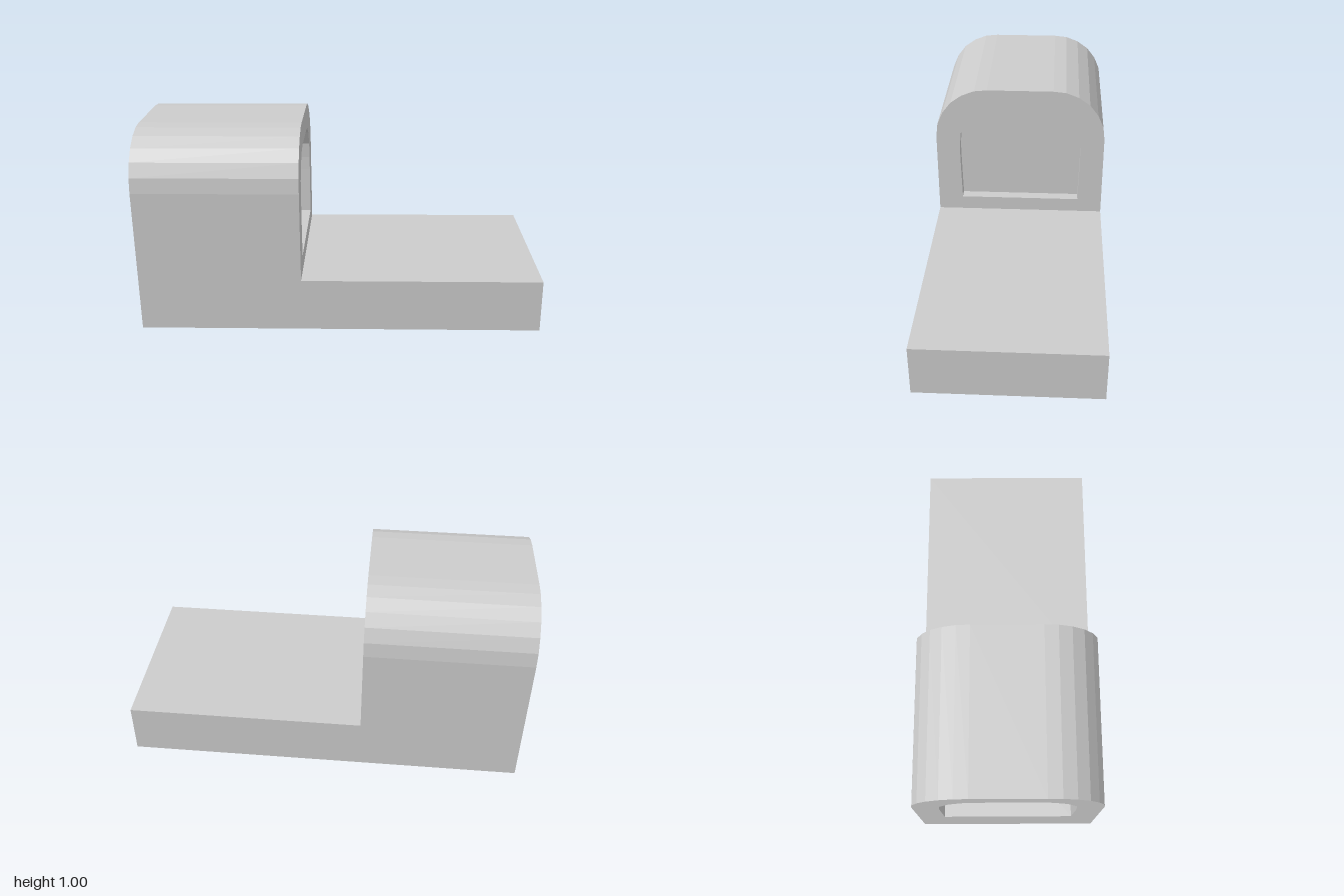
import * as THREE from 'three';

const material = new THREE.MeshStandardMaterial({ color: 0xcccccc, flatShading: true, side: THREE.DoubleSide });

const BACK = -1, FRONT = 1, CAB = -0.19, PANEL = -0.246;
const HALF = 0.454, DECK = 0.266, FLOOR = 0.343, EAVE = 0.72;

// Half profiles as [z, y], from the bottom up to the top
const roofHalf = [[HALF, EAVE], [0.445, 0.795], [0.415, 0.864], [0.37, 0.922], [0.31, 0.965], [0.243, 0.991], [0.175, 0.998]];
const openingHalf = [[0.322, FLOOR], [0.328, 0.59], [0.328, 0.662], [0.321, 0.742], [0.273, 0.82], [0.207, 0.864], [0.138, 0.876]];

// Completes a half profile with its mirror image
const mirrored = (half) => [...half, ...half.map(([z, y]) => [-z, y]).reverse()];
const toVectors = (points) => points.map(([a, b]) => new THREE.Vector2(a, b));

// Flat sheet across the model at a given x, with an optional hole
function crossSheet(points, x, direction, hole) {
  const shape = new THREE.Shape(toVectors(points));
  if (hole) shape.holes.push(new THREE.Path(toVectors(hole)));
  return new THREE.ShapeGeometry(shape).rotateY(direction * Math.PI / 2).translate(x, 0, 0);
}

// Sheet that carries a [z, y] profile along x
function sweep(points, x0, x1) {
  const position = [];
  for (let i = 0; i < points.length - 1; i++) {
    const [z0, y0] = points[i], [z1, y1] = points[i + 1];
    position.push(x0, y0, z0, x1, y0, z0, x1, y1, z1, x0, y0, z0, x1, y1, z1, x0, y1, z1);
  }
  const geometry = new THREE.BufferGeometry();
  geometry.setAttribute('position', new THREE.Float32BufferAttribute(position, 3));
  geometry.computeVertexNormals();
  return geometry;
}

export function createModel() {
  const group = new THREE.Group();
  const add = (name, geometry) => {
    const mesh = new THREE.Mesh(geometry, material);
    mesh.name = name;
    group.add(mesh);
  };

  const roof = mirrored(roofHalf);
  const opening = mirrored(openingHalf);

  // L-shaped side walls
  const side = toVectors([[BACK, 0], [FRONT, 0], [FRONT, DECK], [CAB, DECK], [CAB, EAVE], [BACK, EAVE]]);
  add('leftWall', new THREE.ShapeGeometry(new THREE.Shape(side)).translate(0, 0, HALF));
  add('rightWall', new THREE.ShapeGeometry(new THREE.Shape(side.map((p) => new THREE.Vector2(-p.x, p.y))))
    .rotateY(Math.PI).translate(0, 0, -HALF));

  // Low deck and its end; the underside is open
  add('deck', sweep([[HALF, DECK], [-HALF, DECK]], CAB, FRONT));
  add('deckEnd', crossSheet([[-HALF, 0], [HALF, 0], [HALF, DECK], [-HALF, DECK]], FRONT, 1));

  // Rounded cab with an opening at each end
  add('cabRoof', sweep(roof, BACK, CAB));
  add('cabFront', crossSheet([[-HALF, DECK], [HALF, DECK], ...roof], CAB, 1, opening));
  add('cabBack', crossSheet([[-HALF, 0], [HALF, 0], ...roof], BACK, -1, opening));

  // Lining of the tunnel through the cab, including its floor
  add('tunnelLining', sweep([...opening, opening[0]].reverse(), BACK, CAB));

  // Recessed panel, leaving a narrow slit below the ceiling
  add('recessedPanel', crossSheet(mirrored(openingHalf.slice(0, -1)), PANEL, 1));

  // Central rib under the tunnel floor
  add('floorRib', sweep([[0, FLOOR], [0, DECK]], BACK, CAB));

  // The whole body tips back very slightly
  group.rotation.z = 0.0065;
  group.position.y = 0.0065;
  return group;
}
